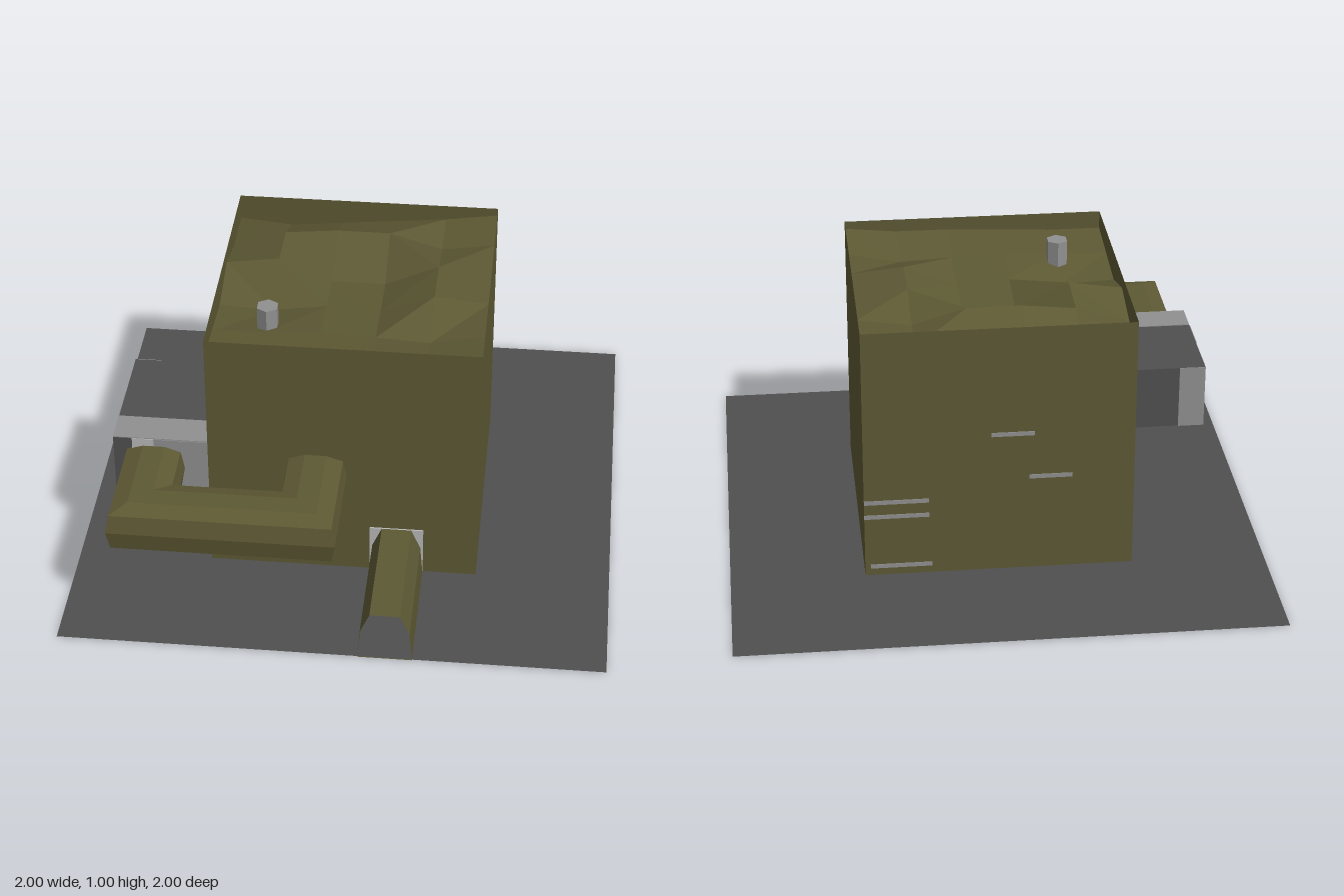
import * as THREE from 'three';

const mat = (name, color) => {
  const m = new THREE.MeshStandardMaterial({ color, flatShading: true, side: THREE.DoubleSide });
  m.name = name;
  return m;
};

// Sweep a closed section of [sideways offset, y] along a mitred path of [x, z]
function sweep(path, section) {
  const pos = [], index = [], n = section.length;
  const dirs = path.slice(1).map((p, i) =>
    new THREE.Vector2(p[0] - path[i][0], p[1] - path[i][1]).normalize());
  path.forEach(([x, z], i) => {
    const a = dirs[Math.max(i - 1, 0)], b = dirs[Math.min(i, dirs.length - 1)];
    const t = a.clone().add(b).normalize();
    const k = 1 / t.dot(a);
    section.forEach(([o, y]) => pos.push(x - t.y * o * k, y, z + t.x * o * k));
    if (i === 0) return;
    for (let j = 0; j < n; j++) {
      const c = (i - 1) * n + j, d = (i - 1) * n + (j + 1) % n;
      index.push(c, c + n, d, d, c + n, d + n);
    }
  });
  return build(pos, index);
}

function build(pos, index) {
  const g = new THREE.BufferGeometry();
  g.setAttribute('position', new THREE.Float32BufferAttribute(pos, 3));
  g.setIndex(index);
  const flat = g.toNonIndexed();
  flat.computeVertexNormals();
  return flat;
}

export function createModel() {
  const root = new THREE.Group();
  const olive = mat('olive', 0x5d5934);
  const dark = mat('darkGrey', 0x505050);
  const mid = mat('midGrey', 0x909090);
  const light = mat('lightGrey', 0xb8b8b8);

  const add = (name, geometry, material) => {
    const m = new THREE.Mesh(geometry, material);
    m.name = name;
    root.add(m);
    return m;
  };
  // Box given by its limits
  const box = (name, x0, x1, y0, y1, z0, z1, material) =>
    add(name, new THREE.BoxGeometry(x1 - x0, y1 - y0, z1 - z0), material)
      .position.set((x0 + x1) / 2, (y0 + y1) / 2, (z0 + z1) / 2);

  // Ground sheet
  add('ground', new THREE.PlaneGeometry(2, 2).rotateX(-Math.PI / 2), dark).position.y = 0.003;

  // Four thin walls, open at the top
  for (let i = 0; i < 4; i++) {
    const a = i * Math.PI / 2;
    const wall = add('wall', new THREE.PlaneGeometry(1, 1), olive);
    wall.position.set(Math.sin(a) * 0.5, 0.5, Math.cos(a) * 0.5);
    wall.rotation.y = a;
  }

  // Uneven surface just below the rim, rows run from back to front
  const heights = [
    [0.90, 0.88, 0.90, 0.92, 0.94, 0.97],
    [0.90, 0.97, 0.99, 0.99, 0.93, 0.96],
    [0.95, 0.98, 0.89, 0.89, 0.98, 0.96],
    [0.89, 0.88, 0.91, 0.90, 0.98, 0.96],
    [0.91, 0.92, 0.93, 0.92, 0.91, 0.95],
    [0.93, 0.93, 0.94, 0.95, 0.95, 0.97],
  ];
  const pos = [], index = [];
  heights.forEach((row, r) => row.forEach((h, c) => {
    pos.push(c * 0.2 - 0.5, h, r * 0.2 - 0.5);
    if (r === 5 || c === 5) return;
    const a = r * 6 + c, b = a + 1, d = a + 6, e = a + 7;
    // Diagonals turn around the bend at the back right
    if ((r === 1 && c === 3) || (c < 3 && r < 3) || r > 3) index.push(a, d, e, a, e, b);
    else index.push(a, d, b, b, d, e);
  }));
  add('terrain', build(pos, index), olive);

  // Small post standing in the terrain
  add('post', new THREE.CylinderGeometry(0.042, 0.042, 0.16, 6), mid).position.set(-0.3, 0.92, 0.25);

  // U-shaped loop on the front
  add('loopPipe', sweep(
    [[-0.7, 0.48], [-0.7, 0.8], [-0.1, 0.8], [-0.1, 0.48]],
    [[-0.1, 0.355], [-0.113, 0.43], [-0.1, 0.5], [-0.04, 0.52],
      [0.04, 0.52], [0.1, 0.5], [0.113, 0.43], [0.1, 0.355]]), olive);

  // Arched duct along the ground, turning inside the block
  add('duct', sweep(
    [[0.2, 1], [0.2, -0.06], [0.06, -0.2], [-0.49, -0.2]],
    [[-0.1, 0], [-0.09, 0.12], [-0.055, 0.2], [0.055, 0.2], [0.09, 0.12], [0.1, 0]]), olive);
  box('ductPlate', 0.1, 0.3, 0.004, 0.2, 0.5, 0.506, light);

  // Box on the right side with its stripes
  box('sideBox', -0.85, -0.5, 0.3, 0.55, 0, 0.5, dark);
  box('topStripe', -0.85, -0.5, 0.55, 0.553, 0.37, 0.5, mid);
  box('frontStripe', -0.78, -0.7, 0.3, 0.55, 0.5, 0.503, light);
  box('frontPanel', -0.7, -0.5, 0.3, 0.55, 0.5, 0.503, mid);
  box('backStripe', -0.85, -0.75, 0.3, 0.55, -0.003, 0, mid);
  box('outerStripe', -0.853, -0.85, 0.3, 0.55, 0.22, 0.37, mid);

  // Narrow slots on the back wall: x start, x end, y
  [[0.26, 0.5, 0.31], [0.26, 0.5, 0.25], [0.25, 0.48, 0.04], [-0.13, 0.03, 0.57], [-0.27, -0.11, 0.39]]
    .forEach(([x0, x1, y]) => box('backSlot', x0, x1, y - 0.008, y + 0.008, -0.503, -0.5, mid));

  return root;
}
